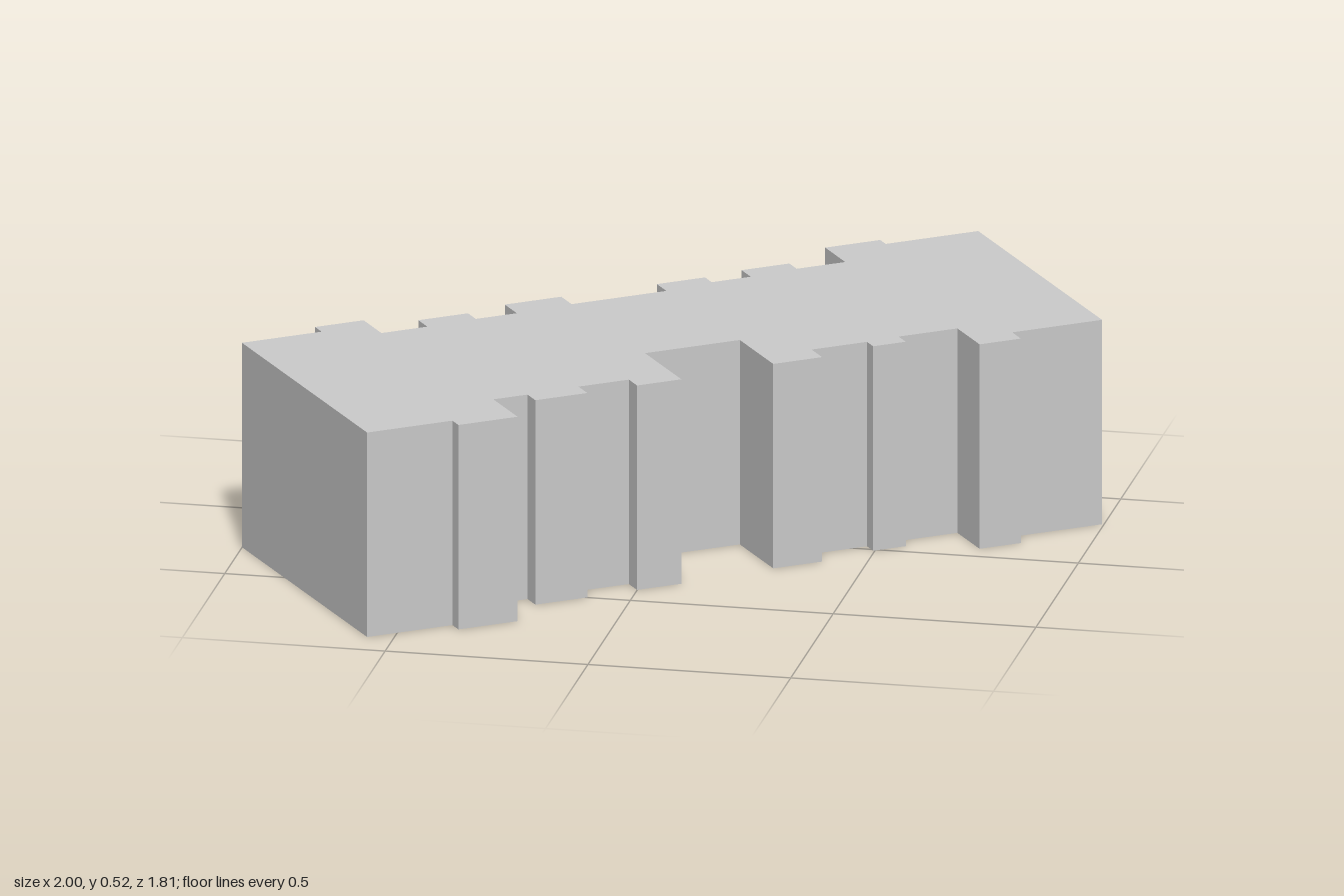
import * as THREE from 'three';

const HEIGHT = 0.52;
const HALF_LENGTH = 0.985;
const HEADING = THREE.MathUtils.degToRad(35.6);

// Facade bays: [where the bay ends along the length, its distance across]
const backBays = [
  [-0.775, -0.343], [-0.647, -0.382], [-0.526, -0.275], [-0.395, -0.329],
  [-0.287, -0.282], [-0.138, -0.354], [0.112, -0.292], [0.239, -0.349],
  [0.342, -0.309], [0.468, -0.364], [0.596, -0.32], [0.741, -0.44],
  [HALF_LENGTH, -0.407],
];
const frontBays = [
  [0.748, 0.334], [0.639, 0.386], [0.484, 0.253], [0.398, 0.296],
  [0.252, 0.259], [0.123, 0.322], [-0.127, 0.122], [-0.244, 0.34],
  [-0.377, 0.291], [-0.514, 0.344], [-0.604, 0.297], [-0.76, 0.442],
  [-HALF_LENGTH, 0.406],
];

// Turns a row of bays into a stepped outline
function steppedWall(start, bays) {
  const points = [];
  let from = start;
  for (const [to, across] of bays) {
    points.push(new THREE.Vector2(from, -across), new THREE.Vector2(to, -across));
    from = to;
  }
  return points;
}

export function createModel() {
  const model = new THREE.Group();
  model.name = 'building';

  // Building block: stepped footprint raised to a flat roof
  const footprint = new THREE.Shape([
    ...steppedWall(-HALF_LENGTH, backBays),
    ...steppedWall(HALF_LENGTH, frontBays),
  ]);
  const geometry = new THREE.ExtrudeGeometry(footprint, { depth: HEIGHT, bevelEnabled: false });
  geometry.rotateX(-Math.PI / 2).rotateY(HEADING);

  const block = new THREE.Mesh(
    geometry,
    new THREE.MeshStandardMaterial({ color: 0xcccccc, flatShading: true }),
  );
  block.name = 'buildingBlock';
  model.add(block);
  return model;
}
